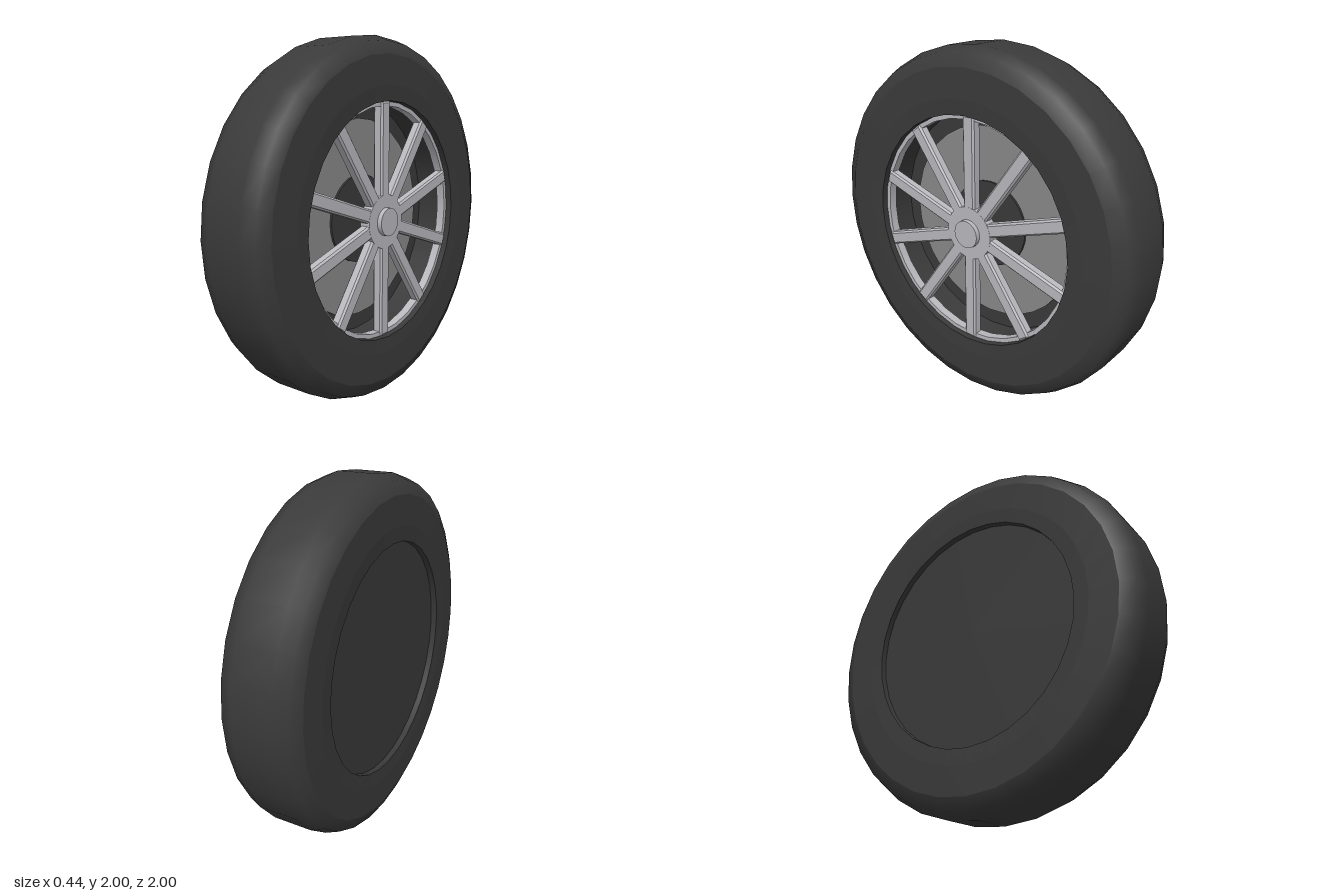
import * as THREE from 'three';
import { mergeGeometries } from 'three/addons/utils/BufferGeometryUtils.js';

const SIDES = 32;
const SPOKES = 10;

const rubber = new THREE.MeshStandardMaterial({ color: 0x3a3a3a });
rubber.name = 'dark rubber';
const alloy = new THREE.MeshStandardMaterial({ color: 0xb9b9be });
alloy.name = 'light alloy';
const steel = new THREE.MeshStandardMaterial({ color: 0x88888a });
steel.name = 'brake steel';

// Smooth surface of revolution around the axle, from [radius, axle position] pairs
const smoothLathe = (profile) =>
  new THREE.LatheGeometry(profile.map(([r, a]) => new THREE.Vector2(r, a)), SIDES);

// Same, with a sharp crease at every profile point
const creasedLathe = (profile) =>
  mergeGeometries(profile.slice(1).map((p, i) => smoothLathe([profile[i], p])));

// Solid disc between two positions on the axle
const disc = (radius, from, to) =>
  new THREE.CylinderGeometry(radius, radius, to - from, SIDES).translate(0, (from + to) / 2, 0);

export function createModel() {
  const model = new THREE.Group();
  model.name = 'wheel';

  // Built with the axle along y, then turned so the spoked face looks along +x
  const wheel = new THREE.Group();
  wheel.name = 'wheelAssembly';
  wheel.rotation.z = -Math.PI / 2;
  wheel.position.y = 1;
  model.add(wheel);

  const add = (name, geometry, material, parent = wheel) => {
    const mesh = new THREE.Mesh(geometry, material);
    mesh.name = name;
    parent.add(mesh);
    return mesh;
  };

  // Tyre: rounded tread, flat sidewalls and the inner wall
  add('tread', smoothLathe([
    [0.9, -0.217], [0.97, -0.185], [1, -0.11],
    [1, 0.11], [0.97, 0.185], [0.9, 0.217],
  ]), rubber);
  add('outerSidewall', creasedLathe([[0.9, 0.217], [0.74, 0.22], [0.655, 0.215]]), rubber);
  add('innerSidewall', creasedLathe([[0.655, -0.215], [0.74, -0.22], [0.9, -0.217]]), rubber);
  add('innerWall', smoothLathe([[0.655, 0.215], [0.655, -0.215]]), rubber);

  // Closed back of the wheel, brake disc and its dark centre
  add('backPlate', disc(0.655, -0.18, -0.02), rubber);
  add('brakeDisc', disc(0.56, -0.02, 0), steel);
  add('brakeCentre', disc(0.25, 0, 0.012), rubber);

  // Rim ring around the spokes
  add('rim', creasedLathe([
    [0.63, 0.13], [0.654, 0.13], [0.654, 0.18], [0.63, 0.18], [0.63, 0.13],
  ]), alloy);

  // Hub and centre cap
  add('hub', disc(0.15, 0.13, 0.19), alloy);
  add('centreCap', disc(0.078, 0.18, 0.217), alloy);

  // Bevelled spokes
  const bevel = 0.01;
  const half = 0.038 - bevel;
  const end = 0.652 - bevel;
  const outline = new THREE.Shape([
    new THREE.Vector2(-half, 0.06), new THREE.Vector2(half, 0.06),
    new THREE.Vector2(half, end), new THREE.Vector2(-half, end),
  ]);
  const spokeGeometry = new THREE.ExtrudeGeometry(outline, {
    depth: 0.04, bevelEnabled: true, bevelSegments: 1,
    bevelSize: bevel, bevelThickness: bevel,
  }).rotateX(-Math.PI / 2).translate(0, 0.139, 0);
  const spokes = new THREE.Group();
  spokes.name = 'spokes';
  wheel.add(spokes);
  for (let i = 0; i < SPOKES; i++) {
    // The first spoke points straight up once the wheel is turned
    add('spoke', spokeGeometry, alloy, spokes).rotation.y =
      Math.PI / 2 + (i * Math.PI * 2) / SPOKES;
  }

  return model;
}
